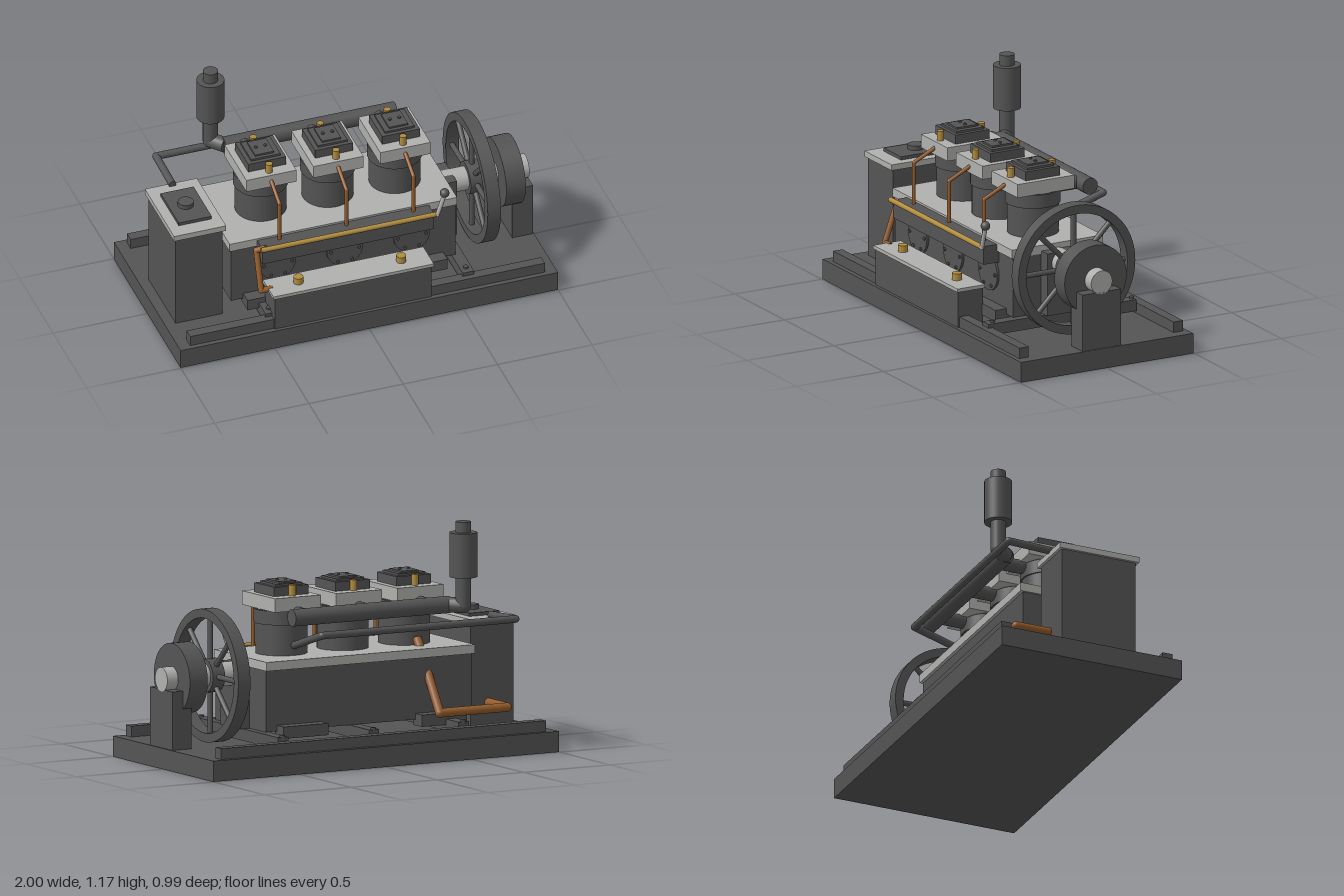
import * as THREE from 'three';

export function createModel() {
  const root = new THREE.Group();
  root.name = 'stationaryEngine';
  const mat = (name, color) => {
    const m = new THREE.MeshStandardMaterial({ color });
    m.name = name;
    return m;
  };
  const dark = mat('dark iron', 0x545454);
  const light = mat('bare steel', 0xb0b0ae);
  const brass = mat('brass', 0xb08c3e);
  const copper = mat('copper', 0x935c2c);

  const add = (name, geo, material, parent = root) => {
    const m = new THREE.Mesh(geo, material);
    m.name = name;
    parent.add(m);
    return m;
  };
  // Box given by its limits on each axis
  const box = (name, m, x0, x1, y0, y1, z0, z1, parent) => {
    const b = add(name, new THREE.BoxGeometry(x1 - x0, y1 - y0, z1 - z0), m, parent);
    b.position.set((x0 + x1) / 2, (y0 + y1) / 2, (z0 + z1) / 2);
    return b;
  };
  // Cylinder between two points
  const rod = (name, m, a, b, r, parent, seg = 24) => {
    const p = new THREE.Vector3(...a), q = new THREE.Vector3(...b);
    const d = q.clone().sub(p);
    const c = add(name, new THREE.CylinderGeometry(r, r, d.length(), seg), m, parent);
    c.position.copy(p).addScaledVector(d, 0.5);
    c.quaternion.setFromUnitVectors(new THREE.Vector3(0, 1, 0), d.normalize());
    return c;
  };
  const ball = (name, m, p, r, parent) =>
    add(name, new THREE.SphereGeometry(r, 20, 14), m, parent).position.set(...p);
  // Pipe along straight runs with rounded corners
  const pipe = (name, m, pts, r) => {
    const g = new THREE.Group();
    g.name = name;
    root.add(g);
    for (let i = 1; i < pts.length; i++) {
      rod(name + 'Run', m, pts[i - 1], pts[i], r, g, 16);
      if (i < pts.length - 1) ball(name + 'Elbow', m, pts[i], r, g);
    }
  };

  const cz = 0.028, cy = 0.45;
  const stations = [-0.41, -0.055, 0.3];

  // Base with rails, cross beams and bolts
  box('base', dark, -1, 1, 0, 0.105, -0.495, 0.495);
  for (const s of [-1, 1]) box('rail', dark, -0.94, 0.94, 0.105, 0.16, s * 0.443 - 0.027, s * 0.443 + 0.027);
  for (const x of [-0.5, 0.02, 0.545]) {
    box('crossBeam', dark, x - 0.03, x + 0.03, 0.12, 0.18, -0.41, 0.44);
    for (const z of [-0.4, 0.4]) rod('beamBolt', dark, [x, 0.17, z], [x, 0.19, z], 0.013, root, 12);
  }

  // Crankcase, feet, deck and main bearings
  box('crankcase', dark, -0.655, 0.535, 0.18, 0.49, -0.22, 0.275);
  box('deckPlate', light, -0.665, 0.54, 0.49, 0.535, -0.237, 0.285);
  box('bearingHousing', dark, 0.53, 0.6, 0.18, 0.505, -0.06, 0.115);
  for (const x of [-0.46, 0.34])
    for (const [z0, z1] of [[-0.285, -0.2], [0.25, 0.34]])
      box('foot', dark, x - 0.13, x + 0.13, 0.15, 0.21, z0, z1);
  rod('endBearing', dark, [-0.68, cy, cz], [-0.65, cy, cz], 0.08);

  // Round inspection doors on the front
  for (const x of stations) {
    rod('inspectionDoor', dark, [x, 0.36, 0.27], [x, 0.36, 0.287], 0.095, root, 32);
    for (let i = 0; i < 6; i++) {
      const a = (i * Math.PI) / 3;
      const bx = x + 0.075 * Math.cos(a), by = 0.36 + 0.075 * Math.sin(a);
      rod('doorBolt', dark, [bx, by, 0.285], [bx, by, 0.295], 0.009, root, 8);
    }
  }

  // Front chest with steel top and oil cups
  box('frontChest', dark, -0.495, 0.335, 0.105, 0.292, 0.335, 0.478);
  box('chestTop', light, -0.505, 0.345, 0.292, 0.31, 0.33, 0.487);
  for (const x of [-0.345, 0.2]) rod('oilCup', brass, [x, 0.3, 0.408], [x, 0.345, 0.408], 0.025);

  // Fuel pump box, control shaft and lever
  box('pumpBox', dark, -0.52, 0.39, 0.43, 0.525, 0.26, 0.362);
  rod('controlShaft', brass, [-0.53, 0.525, 0.374], [0.4, 0.525, 0.374], 0.013);
  rod('lever', light, [0.4, 0.52, 0.38], [0.44, 0.64, 0.38], 0.011);
  ball('leverKnob', dark, [0.44, 0.65, 0.38], 0.024);
  pipe('feedPipe', copper, [[-0.5, 0.525, 0.36], [-0.54, 0.5, 0.33], [-0.54, 0.3, 0.4], [-0.48, 0.3, 0.4]], 0.015);

  // Three identical cylinders
  for (const x of stations) {
    const c = new THREE.Group();
    c.name = 'cylinderUnit';
    root.add(c);
    rod('barrel', dark, [x, 0.53, cz], [x, 0.77, cz], 0.13, c, 40);
    rod('barrelCollar', dark, [x, 0.69, cz], [x, 0.76, cz], 0.138, c, 40);
    box('head', light, x - 0.133, x + 0.133, 0.765, 0.835, cz - 0.163, cz + 0.163, c);
    box('headCover', dark, x - 0.1, x + 0.1, 0.835, 0.882, cz - 0.098, cz + 0.098, c);
    box('coverStep', dark, x - 0.078, x + 0.078, 0.88, 0.893, cz - 0.078, cz + 0.078, c);
    box('coverCap', dark, x - 0.05, x + 0.05, 0.89, 0.902, cz - 0.06, cz + 0.06, c);
    for (const s of [-1, 1])
      rod('capBolt', dark, [x + s * 0.025, 0.9, cz], [x + s * 0.025, 0.91, cz], 0.008, c, 10);
    rod('frontValveCup', brass, [x, 0.83, 0.155], [x, 0.884, 0.155], 0.018, c);
    rod('rearValveCup', brass, [x, 0.83, -0.08], [x, 0.89, -0.08], 0.018, c);
    pipe('injectionLine', copper, [[x, 0.8, 0.185], [x, 0.74, 0.308], [x, 0.52, 0.308]], 0.01);
    rod('exhaustStub', dark, [x, 0.75, -0.1], [x, 0.75, -0.245], 0.035, c);
  }

  // Exhaust manifold, riser and silencer
  rod('manifold', dark, [-0.51, 0.75, -0.245], [0.4, 0.75, -0.245], 0.043, root, 32);
  pipe('exhaustRiser', dark, [[-0.5, 0.75, -0.245], [-0.555, 0.75, -0.31], [-0.555, 0.92, -0.31]], 0.039);
  rod('silencer', dark, [-0.555, 0.895, -0.31], [-0.555, 1.12, -0.31], 0.07, root, 32);
  rod('silencerOutlet', dark, [-0.555, 1.11, -0.31], [-0.555, 1.175, -0.31], 0.038);

  // Cooling tank with lid and its pipes
  box('tank', dark, -0.945, -0.695, 0.105, 0.62, -0.14, 0.265);
  box('tankLid', light, -0.958, -0.682, 0.62, 0.65, -0.155, 0.28);
  box('tankHatch', dark, -0.905, -0.73, 0.65, 0.667, -0.07, 0.2);
  rod('hatchKnob', dark, [-0.82, 0.66, 0.065], [-0.82, 0.69, 0.065], 0.04);
  pipe('hotWaterPipe', dark, [[0.3, 0.58, -0.08], [0.3, 0.67, -0.375], [-0.82, 0.67, -0.375], [-0.82, 0.66, -0.13]], 0.019);
  pipe('coldWaterPipe', copper, [[-0.41, 0.57, -0.1], [-0.41, 0.22, -0.325], [-0.8, 0.22, -0.325], [-0.8, 0.22, -0.13]], 0.023);

  // Crankshaft
  rod('crankshaft', light, [0.53, cy, cz], [0.995, cy, cz], 0.061, root, 32);

  // Spoked flywheel: rim, hub and eight spokes
  const wheel = new THREE.Group();
  wheel.name = 'flywheel';
  wheel.position.set(0.71, cy, cz);
  root.add(wheel);
  const rim = new THREE.Shape().absarc(0, 0, 0.335, 0, Math.PI * 2);
  rim.holes.push(new THREE.Path().absarc(0, 0, 0.29, 0, Math.PI * 2, true));
  const rimGeo = new THREE.ExtrudeGeometry(rim, { depth: 0.07, bevelEnabled: false, curveSegments: 64 });
  rimGeo.translate(0, 0, -0.035).rotateY(Math.PI / 2);
  add('flywheelRim', rimGeo, dark, wheel);
  rod('flywheelHub', dark, [-0.035, 0, 0], [0.035, 0, 0], 0.085, wheel, 32);
  for (let i = 0; i < 8; i++) {
    const a = (i * Math.PI) / 4, s = Math.sin(a), c = Math.cos(a);
    rod('spoke', dark, [0, 0.07 * c, 0.07 * s], [0, 0.3 * c, 0.3 * s], 0.014, wheel, 14);
  }

  // Belt pulley and outer bearing pedestal
  rod('pulley', dark, [0.83, cy, cz], [0.933, cy, cz], 0.178, root, 48);
  box('pedestal', dark, 0.885, 0.995, 0.1, 0.4, -0.082, 0.138);

  return root;
}
